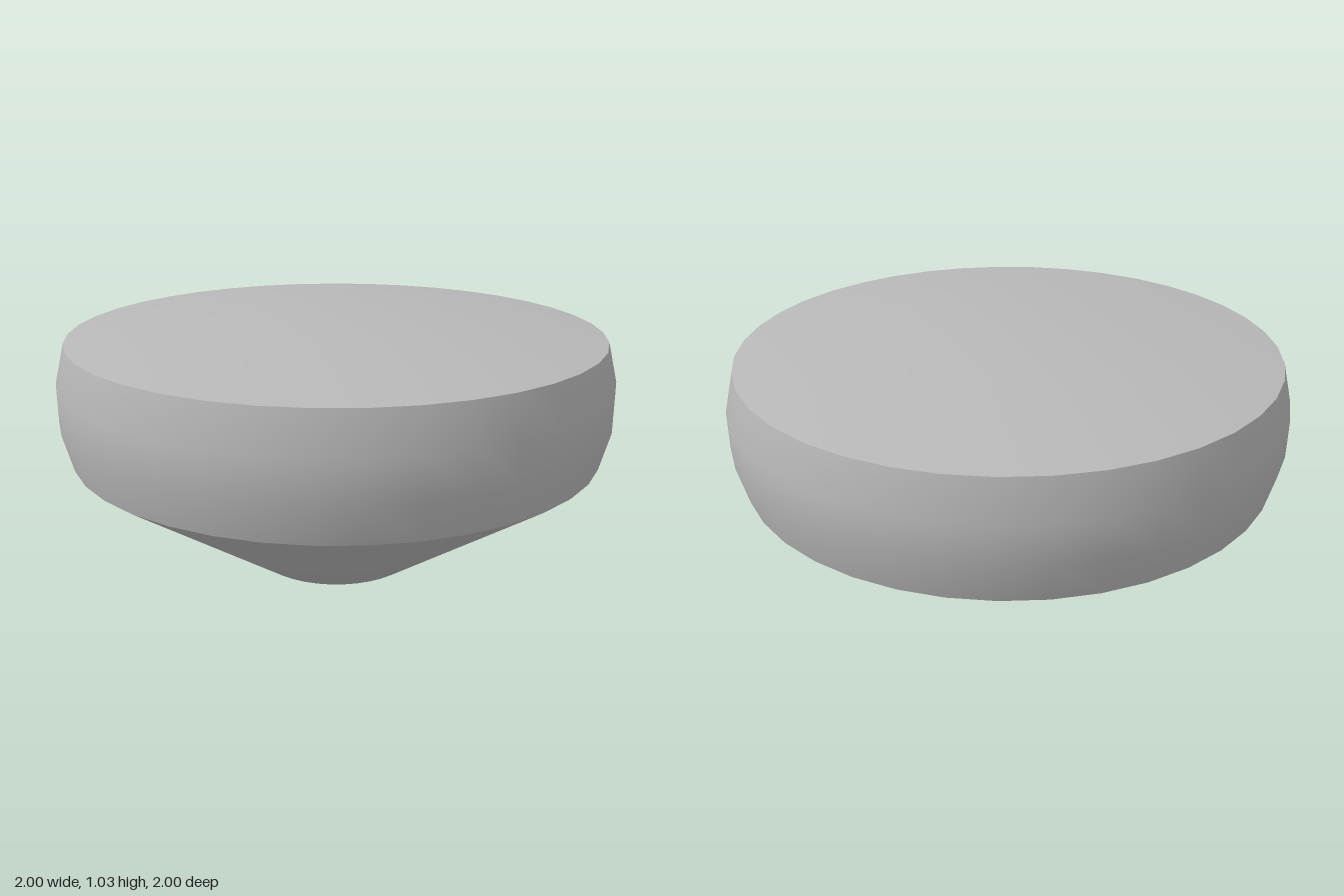
import * as THREE from 'three';

const SEGMENTS = 39;
const START = THREE.MathUtils.degToRad(172.3);

// One smooth band of revolution; separate bands keep the rims sharp
function band(name, profile, material) {
  const points = profile.map(([r, y]) => new THREE.Vector2(r, y));
  const mesh = new THREE.Mesh(new THREE.LatheGeometry(points, SEGMENTS, START), material);
  mesh.name = name;
  return mesh;
}

export function createModel() {
  const group = new THREE.Group();
  group.name = 'roundBody';
  const grey = new THREE.MeshStandardMaterial({ color: 0xb8b8b8 });
  grey.name = 'grey';

  group.add(
    // Tapered underside with a small blunt tip
    band('underside', [[0, 0], [0.05, 0], [0.305, 0.09], [0.965, 0.545]], grey),
    // Bulging side wall
    band('sideWall', [[0.965, 0.545], [1, 0.68], [1, 0.82], [0.965, 0.96]], grey),
    // Shallow domed lid with a flat centre
    band('topCap', [[0.965, 0.96], [0.44, 1.03], [0, 1.03]], grey),
  );
  return group;
}
